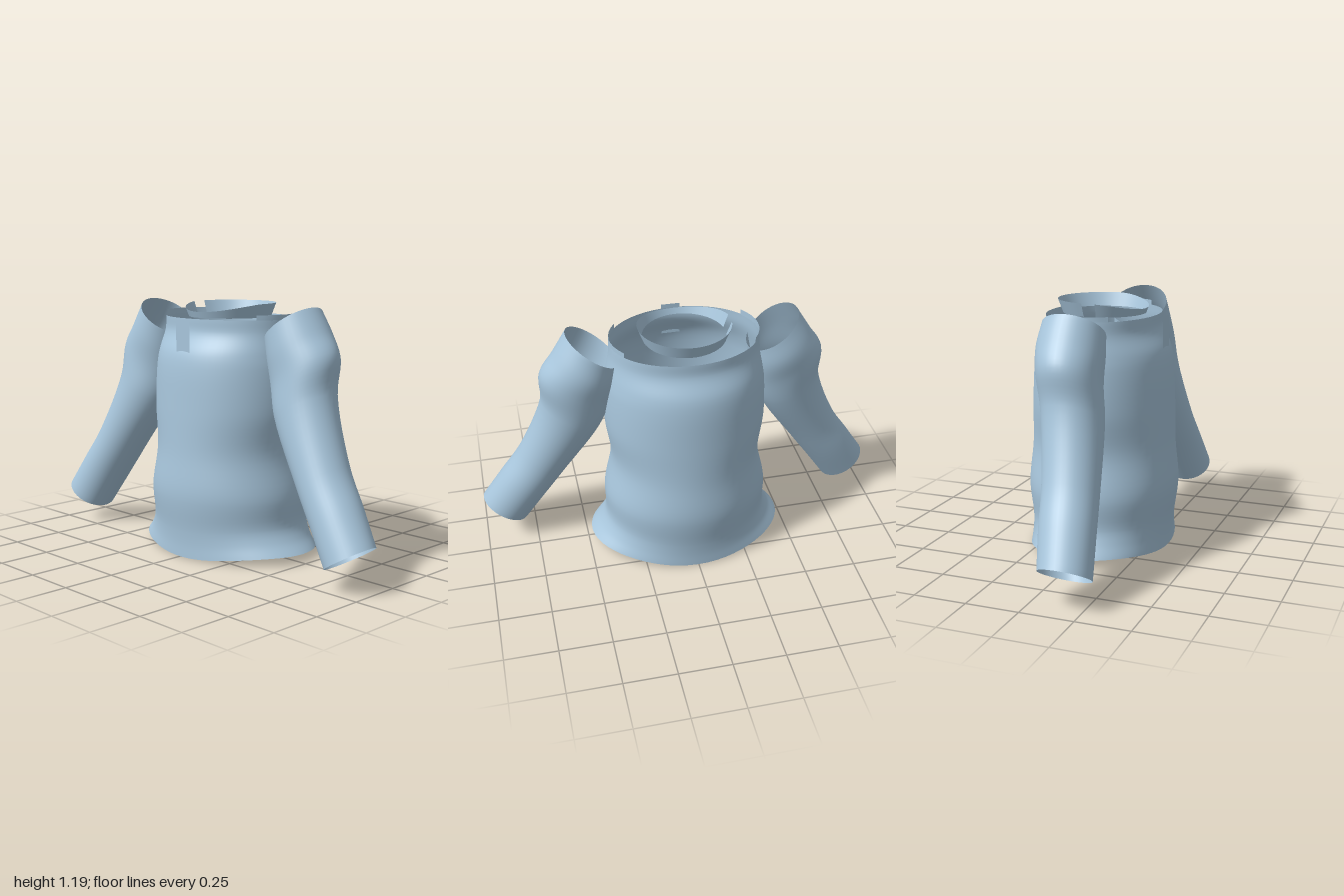
import * as THREE from 'three';

const cloth = new THREE.MeshStandardMaterial({ color: 0xa8c6dc, side: THREE.DoubleSide });
cloth.name = 'pale blue cloth';

// Skin a surface over rows (v, upwards) and columns (u, around)
function loft(name, rows, cols, point, closed = true) {
  const positions = [], index = [];
  const n = closed ? cols : cols + 1;
  for (let r = 0; r <= rows; r++) {
    for (let c = 0; c < n; c++) positions.push(...point(c / cols, r / rows));
  }
  for (let r = 0; r < rows; r++) {
    for (let c = 0; c < cols; c++) {
      const a = r * n + c, b = r * n + (c + 1) % n;
      index.push(a, a + n, b, b, a + n, b + n);
    }
  }
  const geo = new THREE.BufferGeometry();
  geo.setAttribute('position', new THREE.Float32BufferAttribute(positions, 3));
  geo.setIndex(index);
  geo.computeVertexNormals();
  const mesh = new THREE.Mesh(geo, cloth);
  mesh.name = name;
  return mesh;
}

const spline = (pts) => new THREE.CatmullRomCurve3(pts.map((p) => new THREE.Vector3(...p)), false, 'centripetal');

// Torso profile: half width, height, half depth
const torsoProfile = spline([
  [0.48, 0.042, 0.335], [0.43, 0.10, 0.335], [0.402, 0.16, 0.34], [0.4, 0.3, 0.36],
  [0.362, 0.5, 0.345], [0.385, 0.7, 0.337], [0.38, 0.9, 0.325], [0.37, 0.97, 0.31],
  [0.355, 1.06, 0.268], [0.35, 1.125, 0.265],
]);

function createTorso() {
  return loft('torso', 54, 64, (u, v) => {
    const p = torsoProfile.getPoint(v), t = u * Math.PI * 2;
    // the hem dips at the front and back
    const dip = 0.042 * Math.sin(t) ** 4 * Math.max(0, 1 - (p.y - 0.042) / 0.25);
    return [p.x * Math.cos(t), p.y - dip, p.z * Math.sin(t)];
  });
}

// Sleeve edges from cuff to shoulder: outer line with front z, inner line with back z
const sleeveOuter = spline([
  [1.0, 0.21, 0.285], [0.9, 0.365, 0.262], [0.8, 0.52, 0.238], [0.68, 0.82, 0.2],
  [0.675, 0.98, 0.18], [0.61, 1.085, 0.175], [0.545, 1.19, 0.165],
]);
const sleeveInner = spline([
  [0.79, 0.08, 0.045], [0.69, 0.235, 0.01], [0.58, 0.4, -0.02], [0.40, 0.68, -0.085],
  [0.35, 0.82, -0.115], [0.325, 0.93, -0.135], [0.31, 1.02, -0.125],
]);

function createSleeve(side) {
  return loft(side > 0 ? 'leftSleeve' : 'rightSleeve', 36, 40, (u, v) => {
    const o = sleeveOuter.getPoint(v), i = sleeveInner.getPoint(v);
    const t = u * Math.PI * 2 * side, c = Math.cos(t) / 2;
    return [
      side * ((o.x + i.x) / 2 + (o.x - i.x) * c),
      (o.y + i.y) / 2 + (o.y - i.y) * c,
      (o.z + i.z) / 2 + (o.z - i.z) * Math.sin(t) / 2,
    ];
  });
}

// Flared collar with a small gap at the right side and a lower front
function createCollar() {
  const gap = 0.15;
  return loft('collar', 4, 48, (u, v) => {
    const t = -Math.PI + gap + u * (Math.PI * 2 - gap * 2);
    const top = 1.19 - 0.037 * Math.max(0, Math.sin(t)) ** 1.5;
    const y = 1.125 + (top - 1.125) * v;
    const r = 0.195 + (y - 1.125) * 0.37;
    return [r * Math.cos(t), y, r * 1.02 * Math.sin(t)];
  }, false);
}

// Small raised strip along each side of the torso rim
function createShoulderTab(side) {
  return loft(side > 0 ? 'leftShoulderTab' : 'rightShoulderTab', 1, 8, (u, v) => {
    const t = (u - 0.5) * 1.05 * side;
    return [side * 0.35 * Math.cos(t), 1.12 + 0.028 * v, 0.265 * Math.sin(t * side)];
  }, false);
}

export function createModel() {
  const shirt = new THREE.Group();
  shirt.name = 'shirt';
  shirt.add(createTorso(), createCollar());
  for (const side of [1, -1]) shirt.add(createSleeve(side), createShoulderTab(side));

  // Flat neck placket at the front
  const placket = new THREE.Mesh(new THREE.PlaneGeometry(0.09, 0.16), cloth);
  placket.name = 'placket';
  placket.position.set(0, 1.04, 0.307);
  shirt.add(placket);
  return shirt;
}
